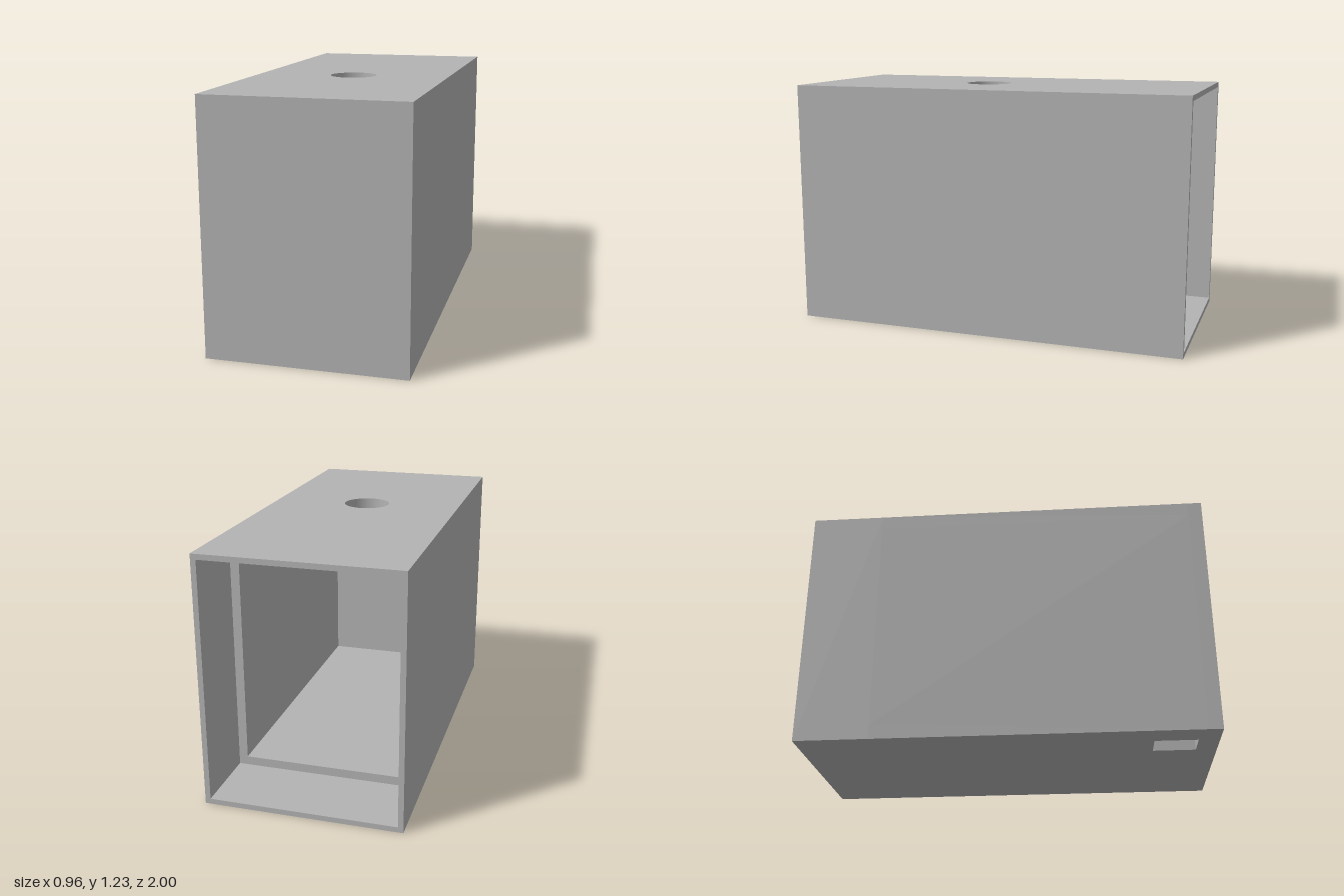
import * as THREE from 'three';

// Overall size: half width, height, half length
const W = 0.48, H = 1.225, L = 1;
const WALL = 0.07;   // main wall thickness
const RIM = 0.026;   // thin wall around the open back
const STEP = -0.64;  // z where the walls thin out to leave a ledge

function rect(target, x0, x1, y0, y1) {
  target.moveTo(x0, y0);
  target.lineTo(x1, y0);
  target.lineTo(x1, y1);
  target.lineTo(x0, y1);
  target.closePath();
  return target;
}

export function createModel() {
  const group = new THREE.Group();
  const grey = new THREE.MeshStandardMaterial({ color: 0xb3b3b3 });
  grey.name = 'grey';

  const add = (name, geometry, x = 0, y = 0, z = 0) => {
    const mesh = new THREE.Mesh(geometry, grey);
    mesh.name = name;
    mesh.position.set(x, y, z);
    group.add(mesh);
  };

  // Horizontal panel from the ledge to the front wall, pierced by one hole
  const panel = (name, hole, y) => {
    const shape = rect(new THREE.Shape(), -W, W, -(L - WALL), -STEP);
    shape.holes.push(hole);
    const geometry = new THREE.ExtrudeGeometry(shape, {
      depth: WALL, bevelEnabled: false, curveSegments: 48,
    });
    geometry.rotateX(-Math.PI / 2);
    add(name, geometry, 0, y);
  };

  // Top with the round opening, floor with the rectangular slot
  panel('topPanel', new THREE.Path().absarc(0, -0.135, 0.116, 0, Math.PI * 2, true), H - WALL);
  panel('floorPanel', rect(new THREE.Path(), -0.343, -0.203, -0.9, -0.695), 0);

  // Side walls between floor and top
  const sideLength = L - WALL - STEP;
  for (const [name, s] of [['leftWall', 1], ['rightWall', -1]]) {
    add(name, new THREE.BoxGeometry(WALL, H - 2 * WALL, sideLength),
      s * (W - WALL / 2), H / 2, STEP + sideLength / 2);
  }

  // Closed front
  add('frontWall', new THREE.BoxGeometry(2 * W, H, WALL), 0, H / 2, L - WALL / 2);

  // Thin frame around the open back
  const frame = rect(new THREE.Shape(), -W, W, 0, H);
  frame.holes.push(rect(new THREE.Path(), -W + RIM, W - RIM, RIM, H - RIM));
  add('backRim', new THREE.ExtrudeGeometry(frame, { depth: L + STEP, bevelEnabled: false }), 0, 0, -L);

  return group;
}
